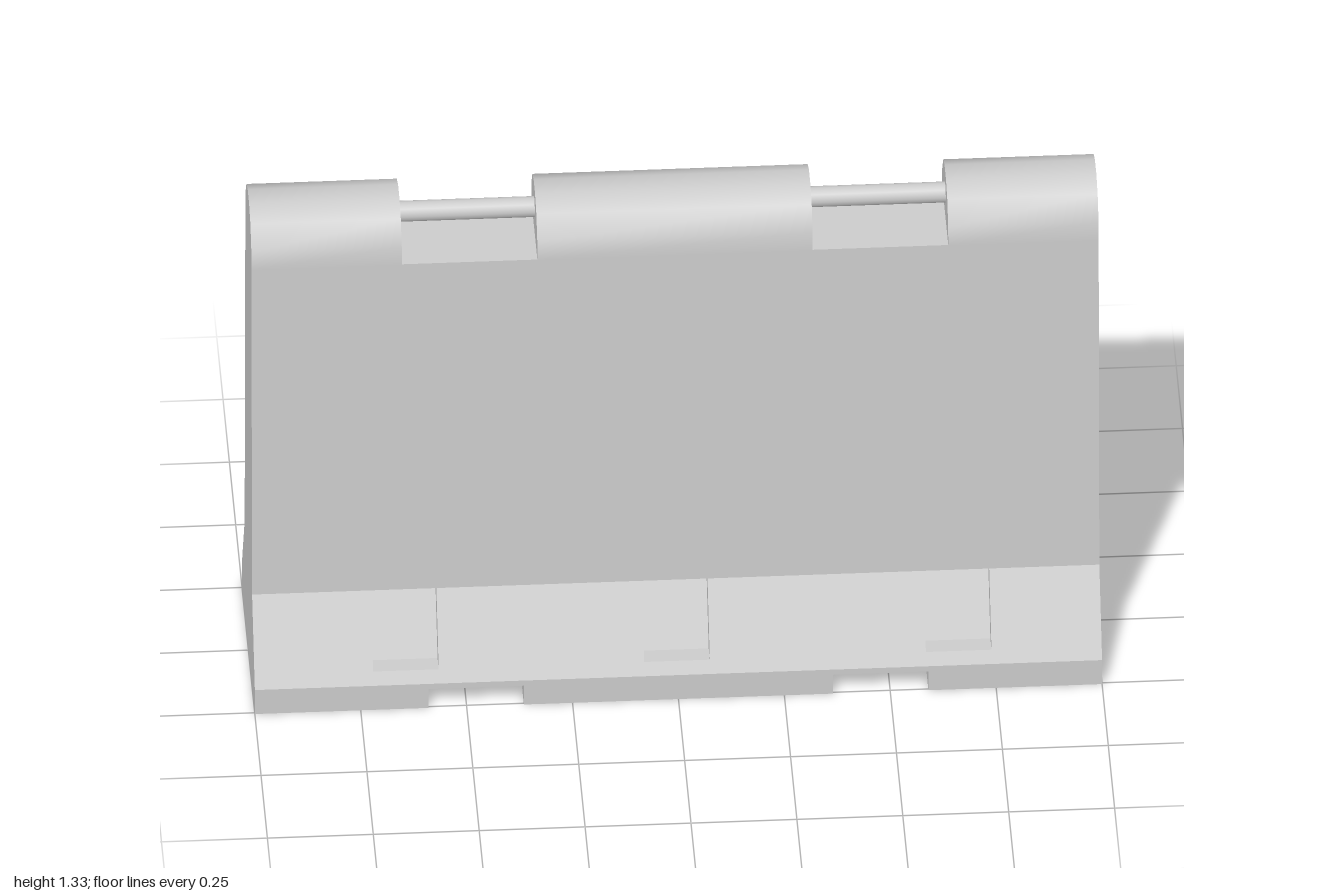
import * as THREE from 'three';
import { toCreasedNormals } from 'three/addons/utils/BufferGeometryUtils.js';

const material = new THREE.MeshStandardMaterial({ color: 0xcccccc });

// Closed shape from the +z half of a profile, [z, y] from bottom to top, mirrored to -z
function mirroredShape(half) {
  const other = half.map(([z, y]) => [-z, y]).reverse();
  return new THREE.Shape([...half, ...other].map(([z, y]) => new THREE.Vector2(z, y)));
}

// Extrude a z-y profile along x, from x0 to x1
function slice(half, x0, x1, crease = 0.1) {
  const geometry = new THREE.ExtrudeGeometry(mirroredShape(half), { depth: x1 - x0, bevelEnabled: false });
  geometry.rotateY(-Math.PI / 2).translate(x1, 0, 0);
  return toCreasedNormals(geometry, crease);
}

export function createModel() {
  const group = new THREE.Group();
  const add = (name, geometry) => {
    const mesh = new THREE.Mesh(geometry, material);
    mesh.name = name;
    group.add(mesh);
    return mesh;
  };

  const plinthTop = 0.07, footTop = 0.27, wallTop = 1.2;
  const footZ = 0.255, waistZ = 0.147, notchZ = 0.12;

  // Plinth with two drainage channels running through underneath
  const outline = [[-1, 0], [-0.59, 0], [-0.59, 0.055], [-0.365, 0.055], [-0.365, 0],
    [0.365, 0], [0.365, 0.055], [0.59, 0.055], [0.59, 0], [1, 0], [1, plinthTop], [-1, plinthTop]];
  const plinth = new THREE.ExtrudeGeometry(
    new THREE.Shape(outline.map(([x, y]) => new THREE.Vector2(x, y))),
    { depth: 2 * footZ, bevelEnabled: false });
  add('plinth', plinth.translate(0, 0, -footZ));

  // Sloped foot: solid stretches alternate with recessed pockets on both sides
  const solid = [[footZ, plinthTop], [waistZ, footTop]];
  const pocketFloor = 0.1, pocketDepth = 0.045, pocketHalf = 0.0775;
  const floorZ = footZ + (waistZ - footZ) * (pocketFloor - plinthTop) / (footTop - plinthTop);
  const recessed = [[footZ, plinthTop], [floorZ, pocketFloor],
    [floorZ - pocketDepth, pocketFloor], [waistZ - pocketDepth, footTop]];
  let x = -1;
  for (const centre of [-0.6425, -0.0025, 0.6625]) {
    add('foot', slice(solid, x, centre - pocketHalf));
    add('footPocket', slice(recessed, centre - pocketHalf, centre + pocketHalf));
    x = centre + pocketHalf;
  }
  add('foot', slice(solid, x, 1));

  // Tapered wall up to the floor of the lifting notches
  add('wall', slice([[waistZ, footTop], [notchZ, wallTop]], -1, 1));

  // Rounded crest, interrupted by the two lifting notches
  const crest = [[notchZ, wallTop], [0.118, 1.25], [0.08, 1.304], [0.028, 1.326]];
  for (const [x0, x1] of [[-1, -0.645], [-0.325, 0.325], [0.645, 1]]) {
    add('crest', slice(crest, x0, x1, 0.75));
  }

  // Lifting bars across the notches
  for (const side of [-1, 1]) {
    const bar = add('liftingBar', new THREE.CylinderGeometry(0.025, 0.025, 0.34, 16));
    bar.rotation.z = Math.PI / 2;
    bar.position.set(side * 0.485, 1.265, -0.003);
  }
  return group;
}
